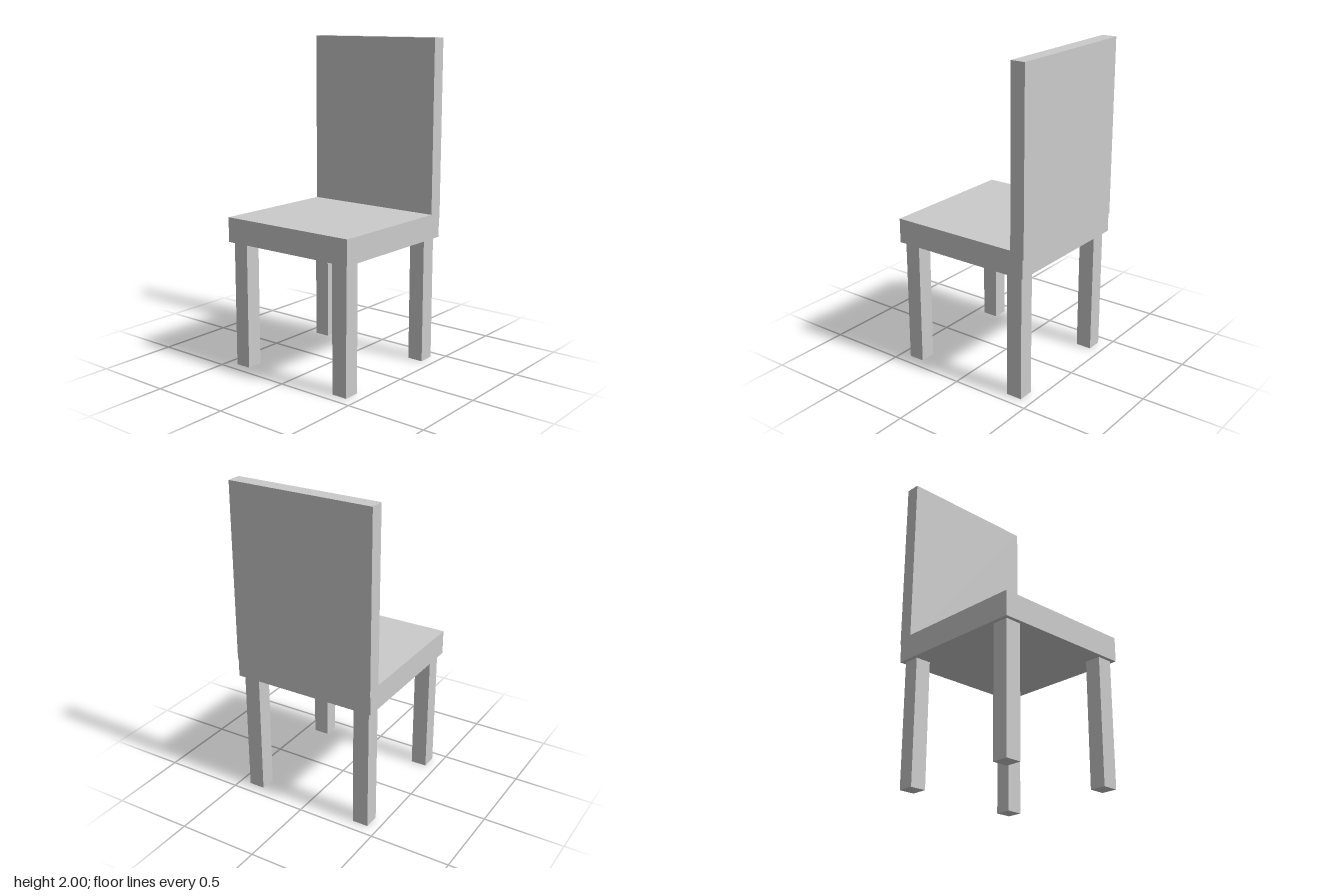
import * as THREE from 'three';

export function createModel() {
  const chair = new THREE.Group();
  chair.name = 'chair';
  const material = new THREE.MeshStandardMaterial({ color: 0xcccccc, flatShading: true });

  // Box given by its size, centre in x and z, and bottom height
  function addBox(name, [w, h, d], x, bottom, z) {
    const mesh = new THREE.Mesh(new THREE.BoxGeometry(w, h, d), material);
    mesh.name = name;
    mesh.position.set(x, bottom + h / 2, z);
    chair.add(mesh);
  }

  const width = 0.912;
  const seatZ = 0.003;
  const seatBottom = 0.783;

  // Seat slab
  addBox('seat', [width, 0.153, width], 0, seatBottom, seatZ);

  // Backrest, set slightly into the seat and overhanging it at the rear
  addBox('backrest', [width, 1.1, 0.091], 0, 0.9, -0.4135);

  // Four square legs
  for (const [side, sx] of [['Left', 1], ['Right', -1]]) {
    for (const [end, sz] of [['front', 1], ['back', -1]]) {
      addBox(`${end}${side}Leg`, [0.101, seatBottom, 0.101], sx * 0.381, 0, seatZ + sz * 0.381);
    }
  }

  return chair;
}
